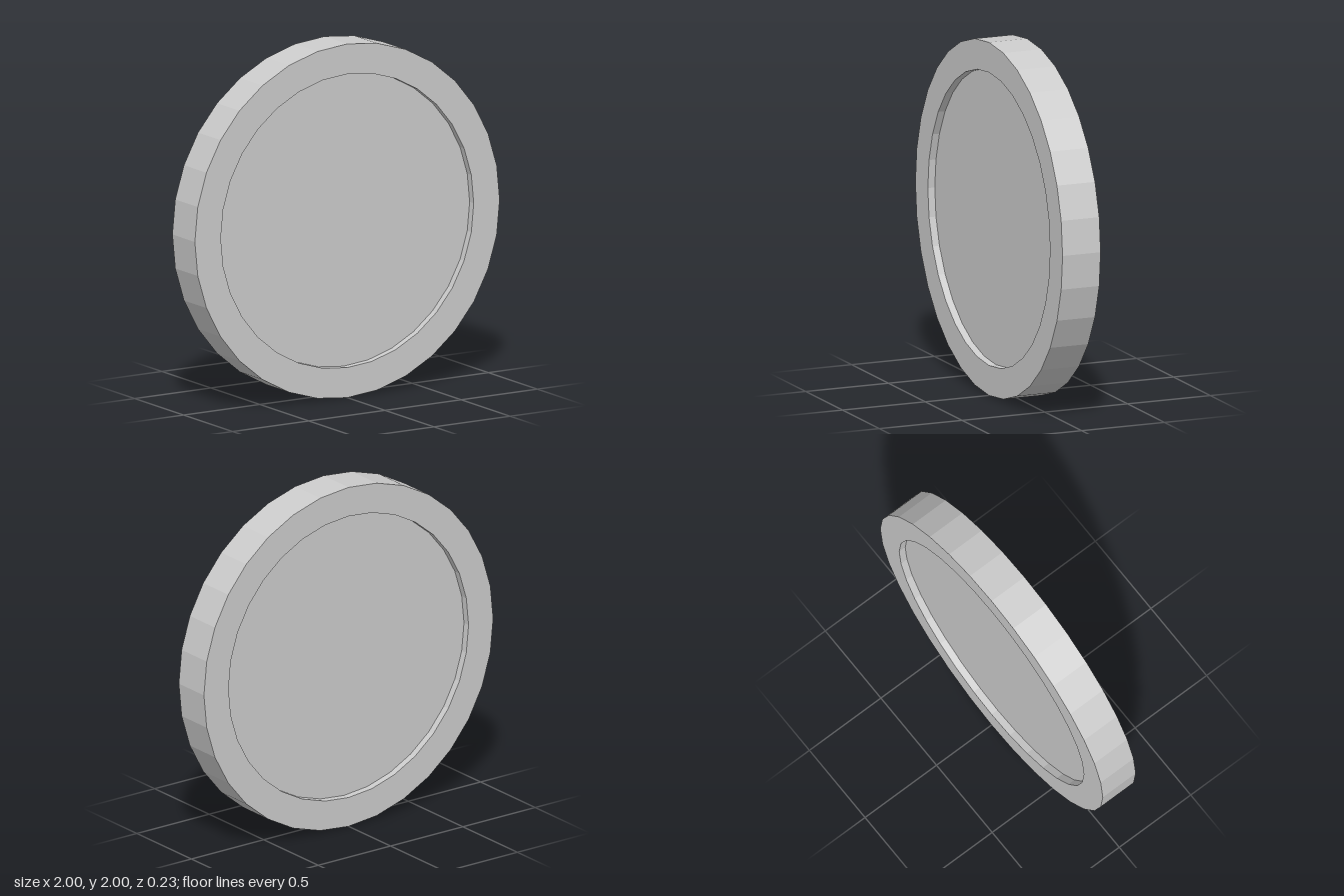
import * as THREE from 'three';

const SIDES = 32;
const OUTER = 1, INNER = 0.83;
const HALF = 0.115;   // half thickness of the rim
const FLOOR = 0.073;  // distance of each recessed face from the middle

export function createModel() {
  const coin = new THREE.Group();
  coin.name = 'coin';
  coin.position.y = OUTER;
  const material = new THREE.MeshStandardMaterial({ color: 0xcccccc, flatShading: true });

  // Raised rim: inner walls, flat borders and faceted edge
  const profile = [
    [INNER, -FLOOR], [INNER, -HALF], [OUTER, -HALF],
    [OUTER, HALF], [INNER, HALF], [INNER, FLOOR],
  ].map(([r, y]) => new THREE.Vector2(r, y));
  const rimGeometry = new THREE.LatheGeometry(profile, SIDES).toNonIndexed();
  rimGeometry.computeVertexNormals();
  rimGeometry.rotateX(Math.PI / 2);
  const rim = new THREE.Mesh(rimGeometry, material);
  rim.name = 'rim';
  coin.add(rim);

  // Recessed round faces, front and back
  for (const side of [1, -1]) {
    const face = new THREE.Mesh(new THREE.CircleGeometry(INNER, SIDES), material);
    face.name = side > 0 ? 'frontFace' : 'backFace';
    face.position.z = side * FLOOR;
    if (side < 0) face.rotation.y = Math.PI;
    coin.add(face);
  }

  const model = new THREE.Group();
  model.name = 'model';
  model.add(coin);
  return model;
}
